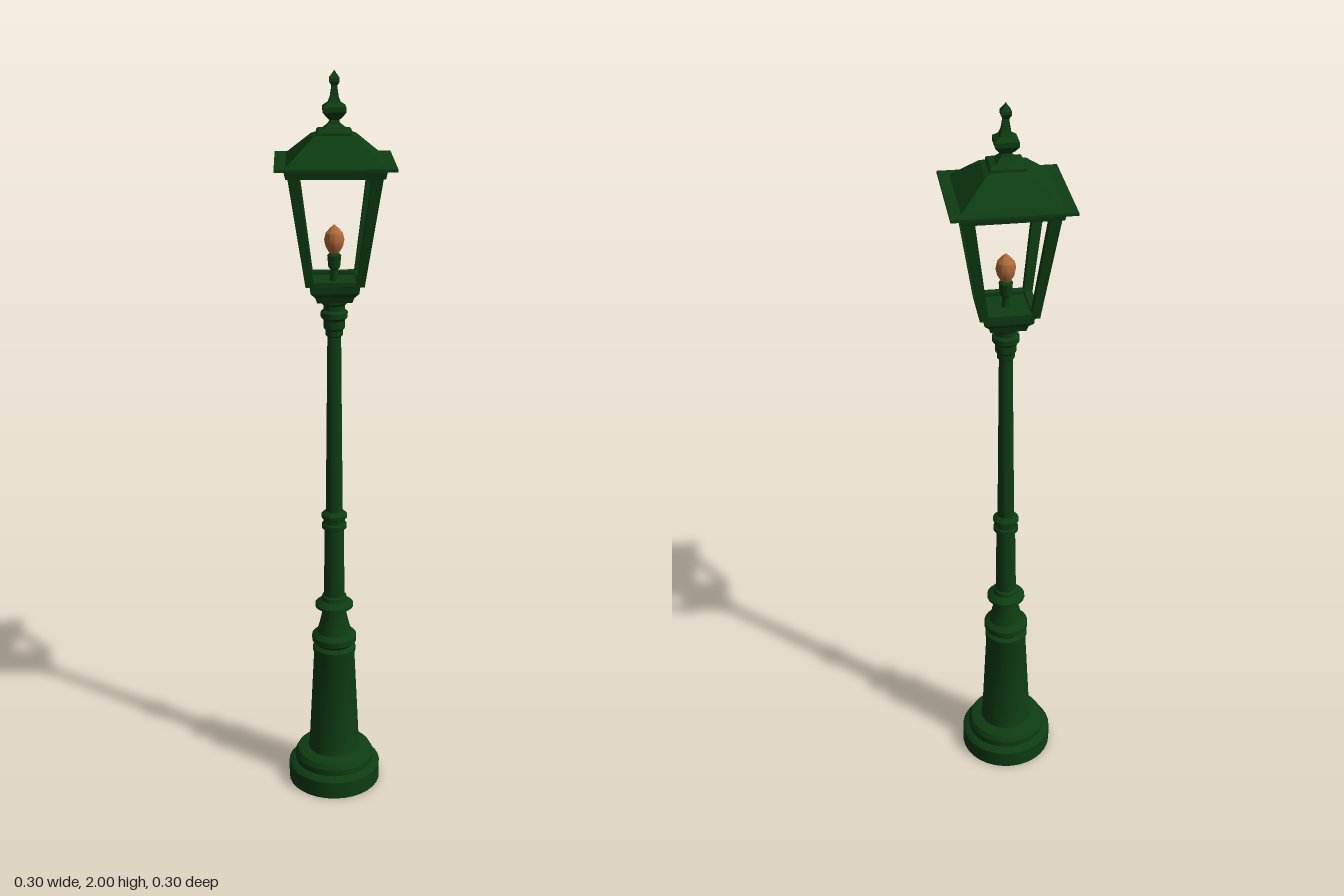
import * as THREE from 'three';
import { toCreasedNormals } from 'three/addons/utils/BufferGeometryUtils.js';

const green = new THREE.MeshStandardMaterial({ name: 'dark green paint', color: 0x0e3d12 });
const copper = new THREE.MeshStandardMaterial({ name: 'copper bulb', color: 0xb06a3c });

const profile = (pts, k = 1) => pts.map(([r, y]) => new THREE.Vector2(r * k, y));

// Round turned part; profile runs from bottom to top
function turned(name, pts, material = green, sides = 24) {
  const geo = toCreasedNormals(new THREE.LatheGeometry(profile(pts), sides), 0.45);
  const mesh = new THREE.Mesh(geo, material);
  mesh.name = name;
  return mesh;
}

// Square part; the profile gives half-widths
function square(name, pts) {
  const geo = new THREE.LatheGeometry(profile(pts, Math.SQRT2), 4, Math.PI / 4);
  const mesh = new THREE.Mesh(toCreasedNormals(geo, 0.1), green);
  mesh.name = name;
  return mesh;
}

// Leaning, tapered corner post of the lantern
function cornerPost(sx, sz) {
  const y0 = 1.475, y1 = 1.765;
  const geo = new THREE.BoxGeometry(1, 1, 1);
  const p = geo.attributes.position;
  for (let i = 0; i < p.count; i++) {
    const t = p.getY(i) + 0.5;
    const w = 0.022 + 0.006 * t;
    const c = 0.064 + 0.041 * t;
    p.setXYZ(i, sx * c + p.getX(i) * w, y0 + (y1 - y0) * t, sz * c + p.getZ(i) * w);
  }
  geo.computeVertexNormals();
  const mesh = new THREE.Mesh(geo, green);
  mesh.name = 'cornerPost';
  return mesh;
}

export function createModel() {
  const lamp = new THREE.Group();
  lamp.name = 'streetLamp';

  // Stepped round foot
  lamp.add(turned('foot', [
    [0, 0], [0.13, 0], [0.13, 0.05], [0.122, 0.058], [0.112, 0.062],
    [0.112, 0.08], [0.104, 0.094], [0.08, 0.102], [0, 0.102],
  ], green, 32));

  // Thick lower column with its mouldings
  lamp.add(turned('lowerColumn', [
    [0.075, 0.1], [0.071, 0.115], [0.057, 0.4], [0.06, 0.41], [0.06, 0.422],
    [0.05, 0.43], [0.062, 0.442], [0.062, 0.458], [0.048, 0.47],
    [0.042, 0.49], [0.034, 0.525], [0.034, 0.54], [0.053, 0.548],
    [0.053, 0.555], [0.036, 0.568], [0.034, 0.578], [0.029, 0.582],
  ]));

  // Slender shaft with middle ring and collars below the lantern
  lamp.add(turned('shaft', [
    [0.029, 0.575], [0.026, 0.78], [0.034, 0.785], [0.034, 0.796],
    [0.03, 0.8], [0.03, 0.812], [0.035, 0.816], [0.035, 0.824],
    [0.023, 0.835], [0.018, 1.325], [0.023, 1.33], [0.023, 1.343],
    [0.028, 1.35], [0.028, 1.37], [0.035, 1.378], [0.035, 1.392],
    [0.028, 1.398], [0.028, 1.41], [0.036, 1.418], [0.036, 1.435], [0, 1.435],
  ]));

  // Square tray carrying the lantern
  lamp.add(square('lanternTray', [
    [0, 1.425], [0.045, 1.425], [0.05, 1.44], [0.062, 1.453],
    [0.064, 1.47], [0.075, 1.473], [0.075, 1.485], [0.055, 1.485],
    [0.055, 1.475], [0, 1.475],
  ]));

  for (const sx of [-1, 1]) for (const sz of [-1, 1]) lamp.add(cornerPost(sx, sz));

  // Hollow roof: top frame, wide eave, hipped slopes and inner lining
  lamp.add(square('roof', [
    [0, 1.825], [0.05, 1.825], [0.098, 1.782], [0.098, 1.752],
    [0.122, 1.752], [0.127, 1.774], [0.15, 1.774], [0.15, 1.781],
    [0.122, 1.781], [0.057, 1.84], [0.044, 1.846], [0.044, 1.852],
    [0.04, 1.856], [0.03, 1.858], [0, 1.87],
  ]));

  // Square finial
  lamp.add(square('finial', [
    [0.03, 1.856], [0.014, 1.872], [0.012, 1.88], [0.02, 1.888],
    [0.029, 1.9], [0.029, 1.912], [0.016, 1.922], [0.011, 1.935],
    [0.007, 1.962], [0.013, 1.972], [0.013, 1.98], [0.004, 1.993], [0, 2],
  ]));

  // Bulb and its holder
  lamp.add(turned('bulbHolder', [
    [0.012, 1.473], [0.009, 1.49], [0.009, 1.502], [0.015, 1.508],
    [0.018, 1.54], [0.012, 1.546], [0, 1.546],
  ], green, 12));
  lamp.add(turned('bulb', [
    [0, 1.54], [0.012, 1.545], [0.022, 1.562], [0.026, 1.58],
    [0.022, 1.597], [0.012, 1.609], [0, 1.619],
  ], copper, 12));

  return lamp;
}
